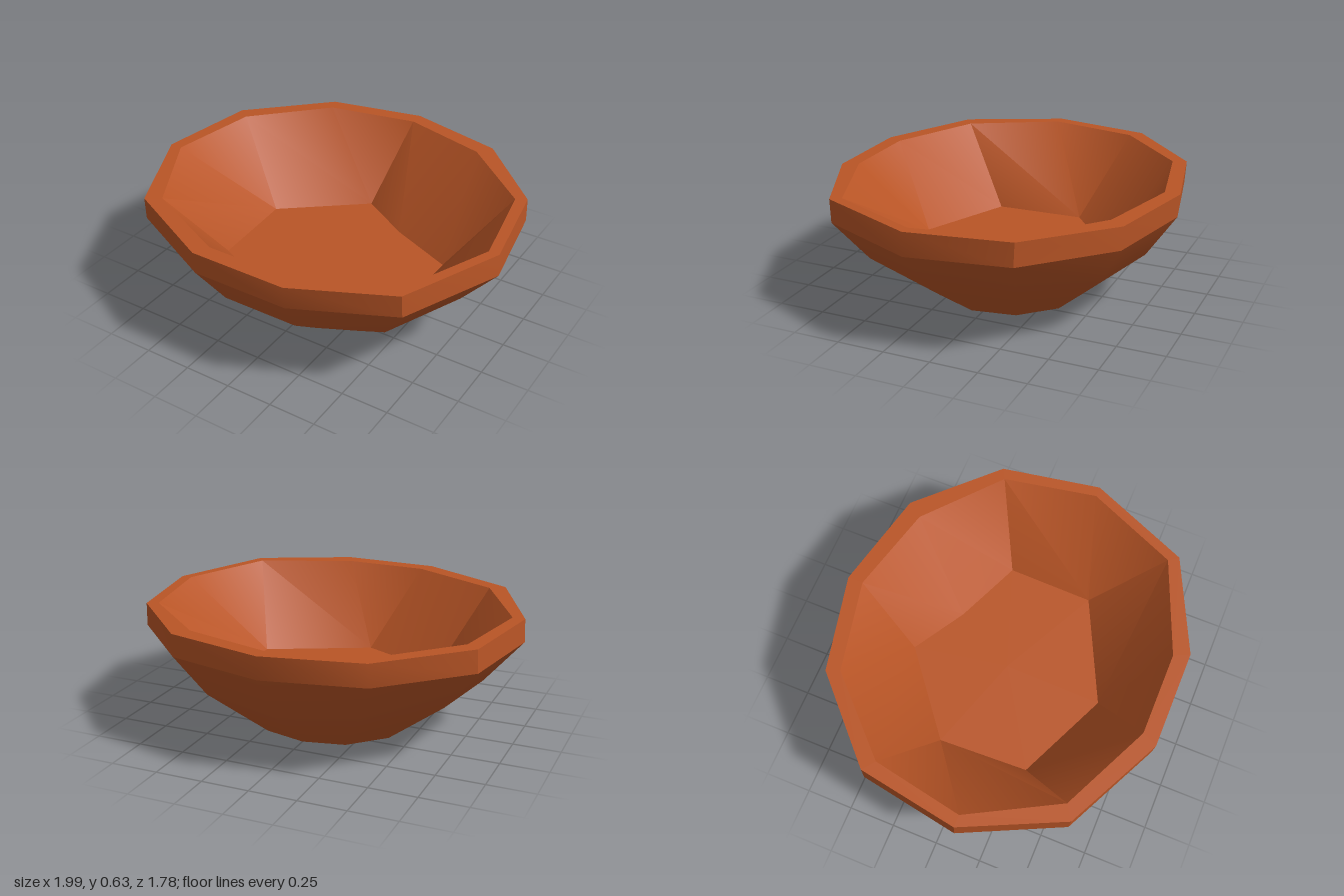
import * as THREE from 'three';
import { toCreasedNormals } from 'three/addons/utils/BufferGeometryUtils.js';

// Hand-shaped outlines as [x, z], running clockwise seen from above
const OUTER = [[0, -0.89], [0.52, -0.77], [0.9, -0.39], [0.99, 0.13], [0.76, 0.66], [0.27, 0.89],
  [-0.25, 0.89], [-0.76, 0.64], [-1, 0.13], [-0.91, -0.4], [-0.51, -0.78]];
const INNER = [[0, -0.81], [0.46, -0.69], [0.84, -0.36], [0.93, 0.13], [0.72, 0.61], [0.23, 0.81],
  [-0.21, 0.81], [-0.68, 0.59], [-0.93, 0.13], [-0.84, -0.35], [-0.48, -0.71]];
const FLOOR = [[-0.09, -0.51], [0.19, -0.34], [0.54, -0.19], [0.53, 0.27], [-0.01, 0.53],
  [-0.5, 0.31], [-0.52, -0.17]];
// Floor corner that each rim corner runs down to
const FLOOR_INDEX = [0, 1, 2, 3, 3, 4, 4, 5, 6, 6, 0];

const ring = (outline, y, sx = 1, sz = sx) =>
  outline.map(([x, z]) => new THREE.Vector3(x * sx, y, z * sz));
const point = (y) => OUTER.map(() => new THREE.Vector3(0, y, 0));

// Skin a series of rings, skipping collapsed triangles
function skin(rings) {
  const pos = [];
  const tri = (a, b, c) => {
    if (a.equals(b) || b.equals(c) || c.equals(a)) return;
    for (const p of [a, b, c]) pos.push(p.x, p.y, p.z);
  };
  for (let r = 0; r < rings.length - 1; r++) {
    const a = rings[r], b = rings[r + 1], n = a.length;
    for (let i = 0; i < n; i++) {
      const j = (i + 1) % n;
      tri(a[i], b[i], b[j]);
      tri(a[i], b[j], a[j]);
    }
  }
  const geo = new THREE.BufferGeometry();
  geo.setAttribute('position', new THREE.Float32BufferAttribute(pos, 3));
  return toCreasedNormals(geo, 0.6);
}

export function createModel() {
  const bowl = new THREE.Group();
  bowl.name = 'bowl';
  const terracotta = new THREE.MeshStandardMaterial({ color: 0xb95526 });
  terracotta.name = 'terracotta';

  const base = ring(OUTER, 0, 0.43, 0.445);
  const belly = ring(OUTER, 0.28, 0.8, 0.815);
  const shoulder = ring(OUTER, 0.51, 1, 0.99);
  const lip = ring(OUTER, 0.632, 0.995, 1);
  const innerLip = ring(INNER, 0.632);
  const floor = ring(FLOOR_INDEX.map((k) => FLOOR[k]), 0.21);

  const parts = {
    foot: [point(0), base],
    outerWall: [base, belly, shoulder],
    rimBand: [shoulder, lip],
    rimTop: [lip, innerLip],
    innerWall: [innerLip, floor],
    innerFloor: [floor, point(0.21)],
  };
  for (const [name, rings] of Object.entries(parts)) {
    const mesh = new THREE.Mesh(skin(rings), terracotta);
    mesh.name = name;
    bowl.add(mesh);
  }
  return bowl;
}
